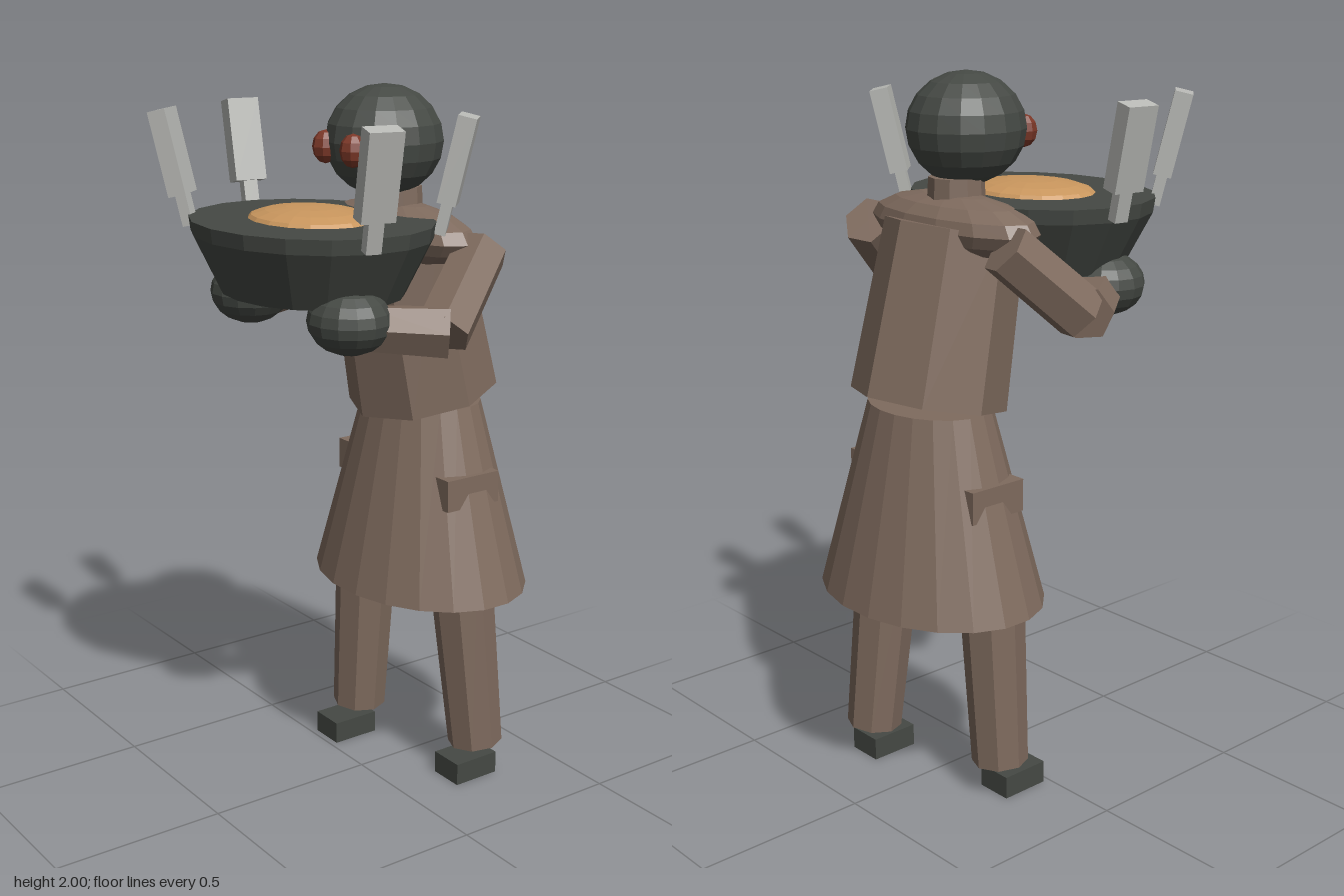
import * as THREE from 'three';

export function createModel() {
  const model = new THREE.Group();
  const mat = (name, color) => {
    const m = new THREE.MeshStandardMaterial({ color, flatShading: true });
    m.name = name;
    return m;
  };
  const brown = mat('brown cloth', 0x7f6b5e);
  const dark = mat('charcoal', 0x454944);
  const red = mat('dark red', 0x7c3828);
  const orange = mat('broth orange', 0xca975e);
  const grey = mat('pale grey', 0xb9bab6);

  const add = (name, geometry, material, position = [0, 0, 0], parent = model) => {
    const mesh = new THREE.Mesh(geometry, material);
    mesh.name = name;
    mesh.position.set(...position);
    parent.add(mesh);
    return mesh;
  };
  const ellipsoid = (name, material, position, radii, w = 14, h = 10) => {
    const mesh = add(name, new THREE.SphereGeometry(1, w, h), material, position);
    mesh.scale.set(...radii);
    return mesh;
  };
  // Tapered faceted limb from point a to point b
  const limb = (name, a, b, ra, rb, sides) => {
    const from = new THREE.Vector3(...a), to = new THREE.Vector3(...b);
    const dir = to.clone().sub(from);
    const mesh = add(name, new THREE.CylinderGeometry(rb, ra, dir.length(), sides), brown);
    mesh.position.copy(from).add(to).multiplyScalar(0.5);
    mesh.quaternion.setFromUnitVectors(new THREE.Vector3(0, 1, 0), dir.normalize());
    return mesh;
  };

  // Head, eyes and neck
  ellipsoid('head', dark, [0, 1.85, -0.075], [0.158, 0.15, 0.165], 16, 10);
  add('neck', new THREE.CylinderGeometry(0.075, 0.085, 0.17, 10), brown, [0, 1.64, -0.11]);

  // Leaning torso with a broad shoulder yoke
  const torso = add('torso', new THREE.CylinderGeometry(0.19, 0.215, 0.47, 8), brown, [0, 1.36, -0.165]);
  torso.rotation.x = 0.21;
  ellipsoid('shoulders', brown, [0, 1.6, -0.12], [0.31, 0.085, 0.128], 14, 8);

  // Flared coat skirt
  const skirt = add('skirt',
    new THREE.CylinderGeometry(0.15, 0.275, 0.54, 20, 1, false, Math.PI / 20), brown, [0, 0.85, -0.21]);
  skirt.scale.x = 1.31;

  // Mirrored parts
  for (const s of [1, -1]) {
    const side = s > 0 ? 'left' : 'right';
    ellipsoid(side + 'Eye', red, [s * 0.064, 1.836, 0.073], [0.036, 0.045, 0.038], 8, 6);
    add(side + 'Pocket', new THREE.BoxGeometry(0.06, 0.09, 0.18), brown, [s * 0.232, 0.897, -0.195]);
    limb(side + 'UpperArm', [s * 0.28, 1.58, -0.19], [s * 0.365, 1.395, 0.005], 0.075, 0.078, 6);
    limb(side + 'Forearm', [s * 0.385, 1.4, 0.0], [s * 0.26, 1.41, 0.17], 0.073, 0.065, 6);
    ellipsoid(side + 'Hand', dark, [s * 0.241, 1.43, 0.21], [0.116, 0.088, 0.11]);
    // Left leg steps back, right leg forward
    const kneeZ = s > 0 ? -0.21 : -0.15, ankleZ = s > 0 ? -0.263 : -0.14;
    limb(side + 'Leg', [s * 0.21, 0.095, ankleZ], [s * 0.175, 0.75, kneeZ], 0.08, 0.095, 8);
    add(side + 'Foot', new THREE.BoxGeometry(0.105, 0.065, 0.145), dark,
      [s * 0.212, 0.0325, s > 0 ? -0.227 : -0.092]);
  }

  // Wide bowl with a short upright rim, filled with a shallow dome
  const bowlProfile = [[0, 1.465], [0.28, 1.465], [0.366, 1.62], [0.372, 1.66], [0, 1.66]]
    .map(([x, y]) => new THREE.Vector2(x, y));
  const bowl = add('bowl', new THREE.LatheGeometry(bowlProfile, 18), dark, [0, 0, 0.165]);
  bowl.scale.z = 0.83;
  ellipsoid('bowlFilling', orange, [0, 1.655, 0.165], [0.2, 0.038, 0.162], 18, 8);

  // Upright blocks leaning outward around the rim: x, z of the top and facing angle
  const blocks = [[-0.45, 0.105, 188], [-0.315, 0.43, 139], [0.44, 0.25, 12], [0.3, -0.125, -45]];
  blocks.forEach(([x, z, degrees], i) => {
    const tool = new THREE.Group();
    tool.name = 'rimTool' + (i + 1);
    tool.position.set(x, 1.935, z);
    tool.rotation.set(0, -degrees * Math.PI / 180, -0.23, 'YXZ');
    add('block', new THREE.BoxGeometry(0.05, 0.23, 0.093), grey, [0, -0.115, 0], tool);
    add('stem', new THREE.BoxGeometry(0.03, 0.09, 0.042), grey, [0, -0.27, 0], tool);
    model.add(tool);
  });

  return model;
}
